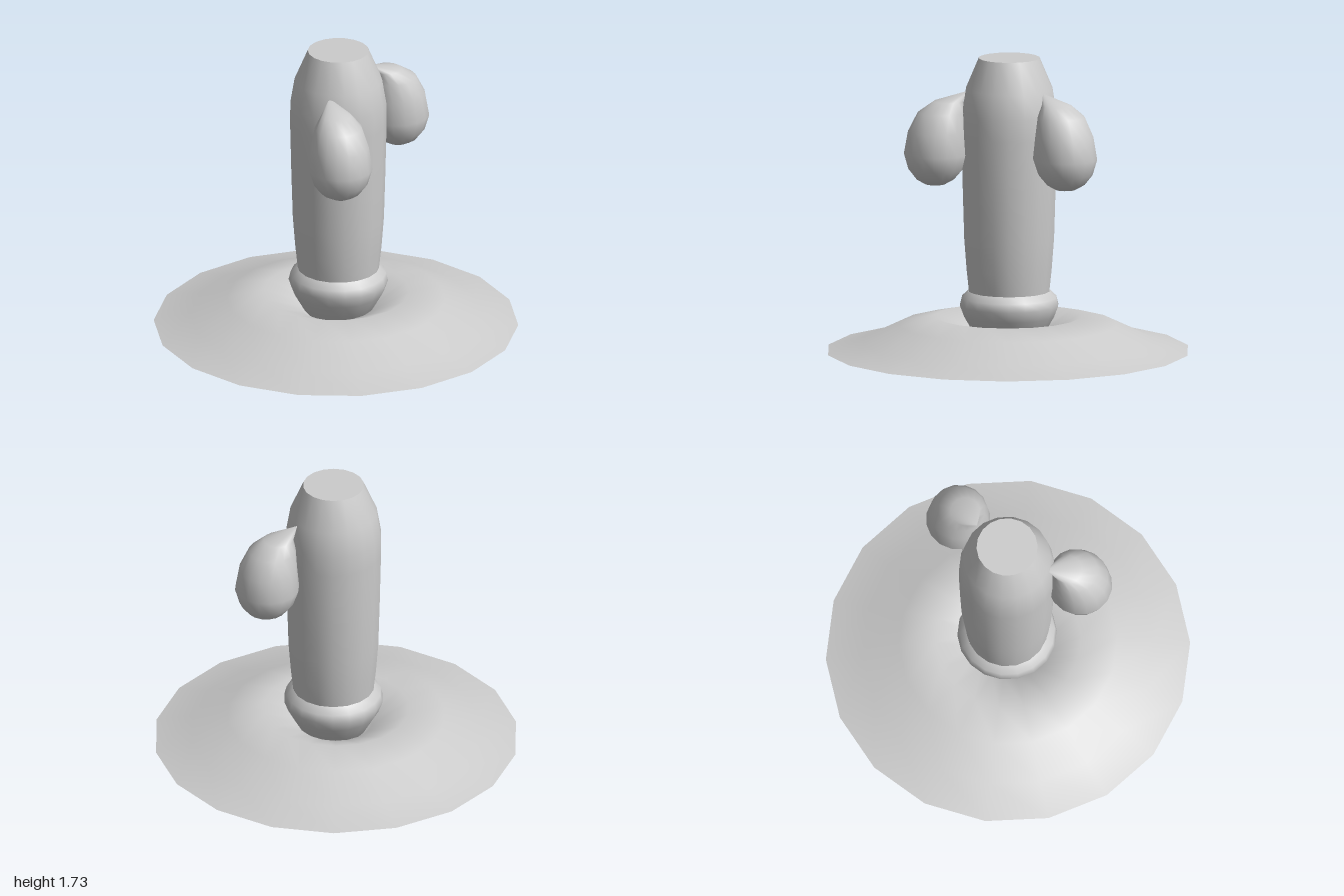
import * as THREE from 'three';
import { mergeVertices } from 'three/addons/utils/BufferGeometryUtils.js';

const material = new THREE.MeshStandardMaterial({ color: 0xcccccc });
const doubleSided = new THREE.MeshStandardMaterial({ color: 0xcccccc, side: THREE.DoubleSide });

// Smooth turned form from [radius, y, sideways shift] rows
function turned(name, rows, sides, mat = material) {
  const points = rows.map(([r, y]) => new THREE.Vector2(r, y));
  let geometry = new THREE.LatheGeometry(points, sides, Math.PI / 2);
  const pos = geometry.attributes.position;
  for (let i = 0; i < pos.count; i++) {
    pos.setX(i, pos.getX(i) + (rows[i % rows.length][2] || 0));
  }
  geometry.deleteAttribute('uv');
  geometry.deleteAttribute('normal');
  geometry = mergeVertices(geometry, 1e-4);
  geometry.computeVertexNormals();
  const mesh = new THREE.Mesh(geometry, mat);
  mesh.name = name;
  return mesh;
}

export function createModel() {
  const model = new THREE.Group();
  model.name = 'plantOnMound';

  // Ground mound with a funnel-shaped hollow in the middle
  model.add(turned('mound', [
    [1, 0.1], [0.8, 0.15], [0.6, 0.245], [0.4, 0.29], [0.2, 0.2], [0, 0],
  ], 18, doubleSided));

  // Trunk with a swollen collar, tapering into the hollow
  const trunk = new THREE.Group();
  trunk.name = 'trunk';
  trunk.position.set(0.014, 0, 0.003);
  trunk.add(turned('collar', [
    [0, 0.07], [0.075, 0.06], [0.19, 0.19], [0.25, 0.295], [0.273, 0.355],
    [0.262, 0.4], [0.225, 0.435],
  ], 18));
  trunk.add(turned('stem', [
    [0.222, 0.42], [0.237, 0.56], [0.25, 0.73], [0.258, 1], [0.265, 1.3],
    [0.263, 1.42], [0.24, 1.56], [0.168, 1.73],
  ], 18));
  const cut = new THREE.Mesh(new THREE.CircleGeometry(0.168, 18), material);
  cut.name = 'stemTop';
  cut.rotation.x = -Math.PI / 2;
  cut.position.y = 1.73;
  trunk.add(cut);
  model.add(trunk);

  // Drooping teardrop fruits, each hung from its pointed tip
  const fruitRows = [
    [0, -0.515, 0.195], [0.055, -0.508, 0.195], [0.105, -0.48, 0.195],
    [0.15, -0.425, 0.193], [0.177, -0.34, 0.19], [0.16, -0.215, 0.184],
    [0.13, -0.11, 0.158], [0.082, -0.052, 0.118], [0, 0, 0],
  ];
  const fruits = [
    { name: 'leftFruit', tip: [0.262, 1.56, -0.033], turn: 0 },
    { name: 'rightFruit', tip: [-0.16, 1.54, 0.147], turn: -1.92 },
  ];
  for (const { name, tip, turn } of fruits) {
    const fruit = turned(name, fruitRows, 16);
    fruit.position.set(...tip);
    fruit.rotation.y = turn;
    model.add(fruit);
  }
  return model;
}
